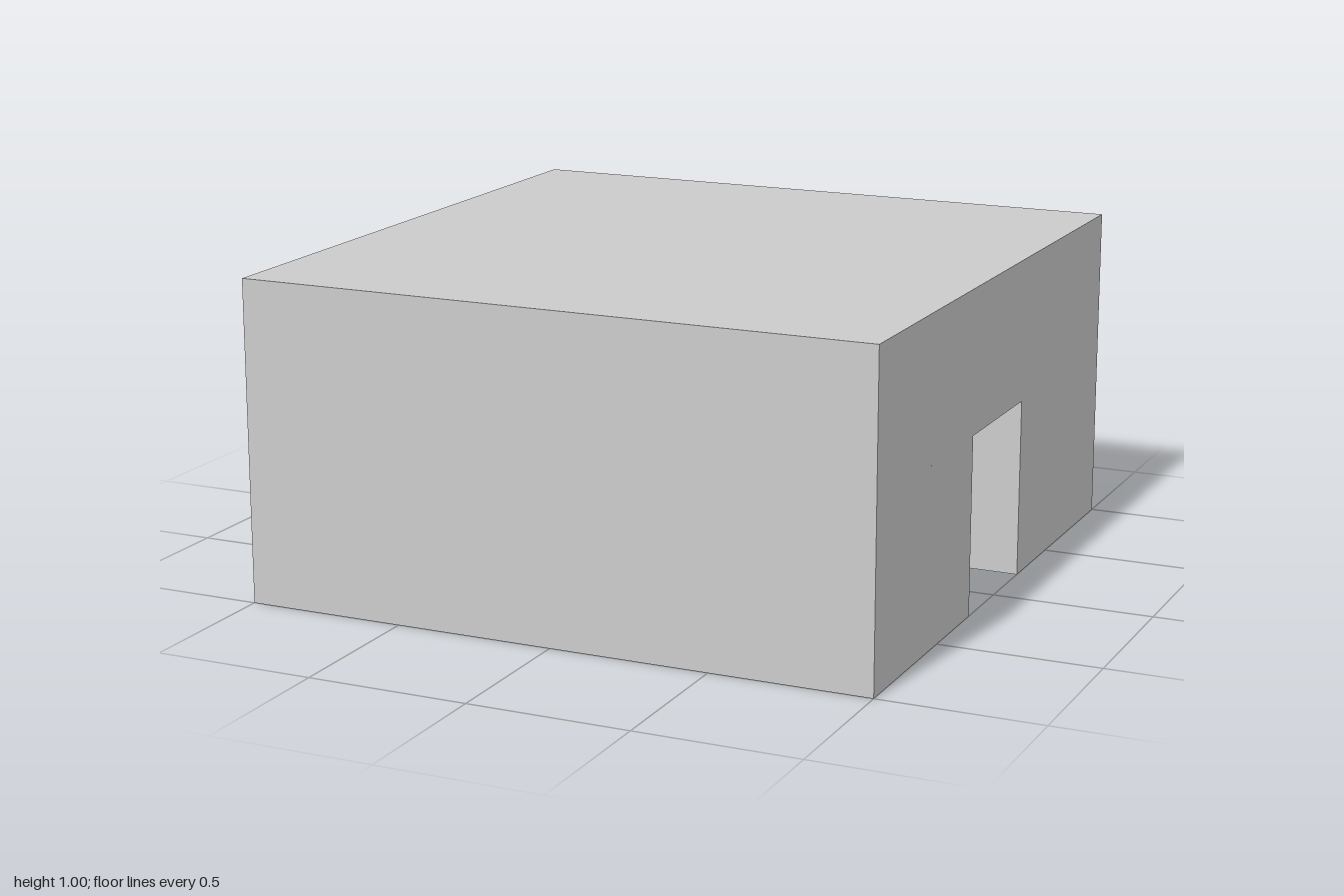
import * as THREE from 'three';

const U = 1 / 9;          // building module
const OUT = 1;            // half width outside
const IN = 7 * U;         // half width inside
const DOOR = 2 * U;       // half width of a doorway
const DOOR_TOP = 5 * U;
const CEILING = 7 * U;

// Plan outline given as [x, z] points
const outline = (Type, pts) => new Type(pts.map(([x, z]) => new THREE.Vector2(x, -z)));
const square = (r) => [[-r, r], [r, r], [r, -r], [-r, -r]];

export function createModel() {
  const model = new THREE.Group();
  model.name = 'hollowBlock';
  const material = new THREE.MeshStandardMaterial({ color: 0xcccccc, flatShading: true });

  // Raise a plan outline between two heights
  const addStorey = (name, shape, bottom, top) => {
    const geometry = new THREE.ExtrudeGeometry(shape, { depth: top - bottom, bevelEnabled: false });
    geometry.rotateX(-Math.PI / 2).translate(0, bottom, 0);
    const mesh = new THREE.Mesh(geometry, material);
    mesh.name = name;
    model.add(mesh);
  };

  // Solid front wall with its two side returns
  addStorey('frontWall', outline(THREE.Shape, [
    [-OUT, DOOR], [-OUT, OUT], [OUT, OUT], [OUT, DOOR],
    [IN, DOOR], [IN, IN], [-IN, IN], [-IN, DOOR],
  ]), 0, DOOR_TOP);

  // L-shaped back corners, between the side and back doorways
  for (const [name, s] of [['leftBackCorner', 1], ['rightBackCorner', -1]]) {
    addStorey(name, outline(THREE.Shape, [
      [s * OUT, -DOOR], [s * OUT, -OUT], [s * DOOR, -OUT],
      [s * DOOR, -IN], [s * IN, -IN], [s * IN, -DOOR],
    ]), 0, DOOR_TOP);
  }

  // Ring of wall above the doorways
  const ring = outline(THREE.Shape, square(OUT));
  ring.holes.push(outline(THREE.Path, square(IN)));
  addStorey('lintelRing', ring, DOOR_TOP, CEILING);

  // Flat roof slab
  addStorey('roof', outline(THREE.Shape, square(OUT)), CEILING, 1);

  return model;
}
